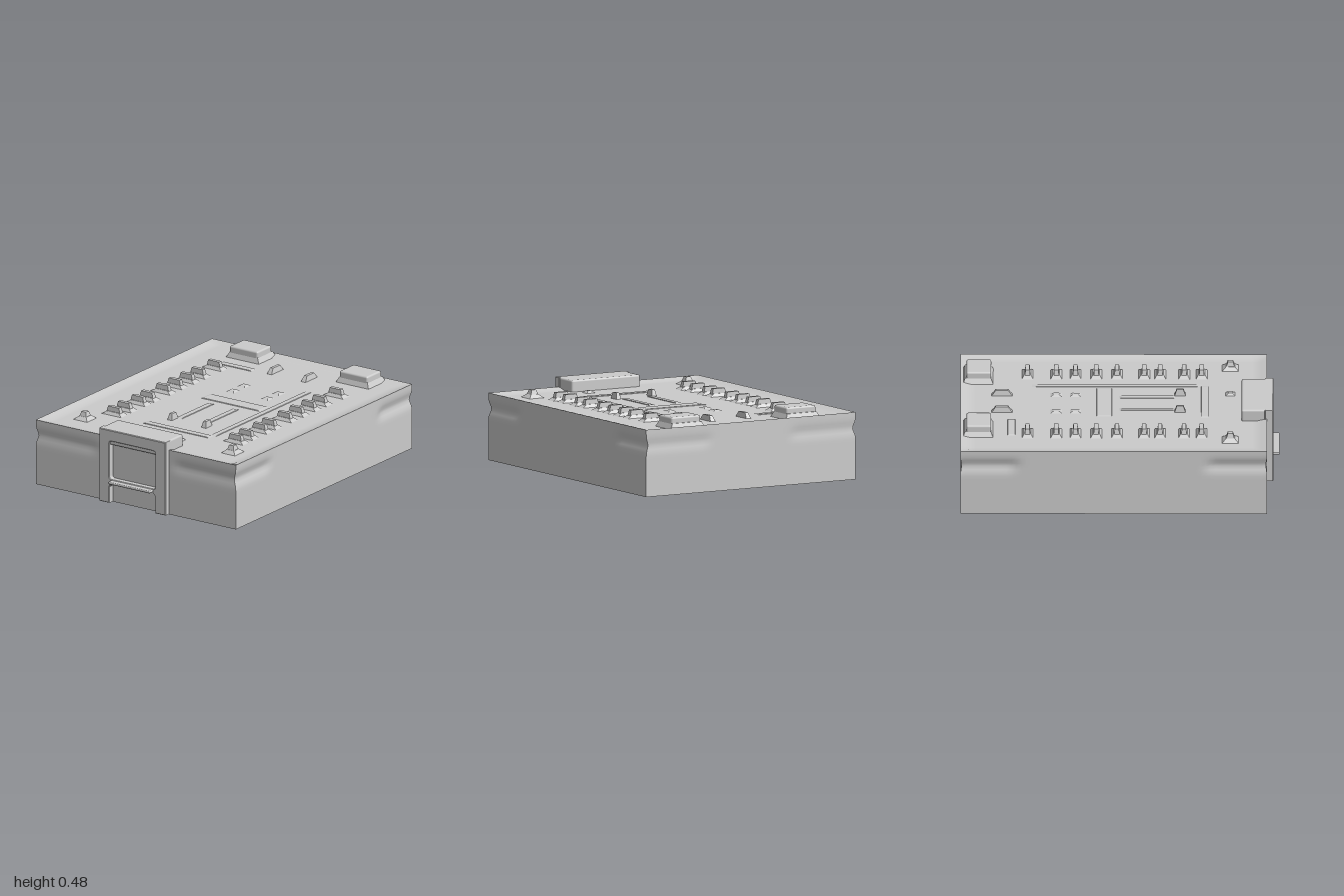
import * as THREE from 'three';
import { RoundedBoxGeometry } from 'three/addons/geometries/RoundedBoxGeometry.js';

const material = new THREE.MeshStandardMaterial({ color: 0xcccccc });
const TOP = 0.41; // floor of the lid, inside its raised rim

export function createModel() {
  const group = new THREE.Group();
  const add = (name, geometry, x = 0, y = 0, z = 0) => {
    const mesh = new THREE.Mesh(geometry, material);
    mesh.name = name;
    mesh.position.set(x, y, z);
    group.add(mesh);
    return mesh;
  };
  // Four-sided tapered block standing on y
  const taper = (name, x, y, z, w, h, d, ratio) => {
    const geometry = new THREE.CylinderGeometry(ratio * Math.SQRT1_2, Math.SQRT1_2, 1, 4)
      .rotateY(Math.PI / 4).scale(w, h, d).toNonIndexed();
    geometry.computeVertexNormals();
    return add(name, geometry, x, y + h / 2, z);
  };

  // Body: a box with a rimmed lid and shallow grip grooves near its corners
  const body = new THREE.BoxGeometry(1.53, 0.425, 1.92, 48, 20, 60);
  body.translate(0, 0.2125, -0.04);
  const smooth = THREE.MathUtils.smoothstep;
  const p = body.attributes.position;
  for (let i = 0; i < p.count; i++) {
    const x = p.getX(i), y = p.getY(i), z = p.getZ(i);
    const groove = Math.exp(-(((y - 0.325) / 0.035) ** 2));
    const end = Math.max(smooth(z, 0.5, 0.6), 1 - smooth(z, -0.7, -0.6));
    const corner = smooth(Math.abs(x), 0.25, 0.35);
    if (Math.abs(x) > 0.764) p.setX(i, x - Math.sign(x) * 0.018 * groove * end);
    if (z > 0.919) p.setZ(i, z - 0.008 * groove * corner);
    if (z < -0.999) p.setZ(i, z + 0.008 * groove * corner);
    if (y > 0.424) {
      const inset = Math.min(0.765 - Math.abs(x), 0.92 - z, z + 1);
      p.setY(i, y - (0.425 - TOP) * smooth(inset, 0.015, 0.05));
    }
  }
  body.computeVertexNormals();
  add('body', body);

  // Front latch frame with one window and an open notch below it
  const outline = new THREE.Shape();
  [[-0.25, 0.005], [-0.18, 0.005], [-0.18, 0.11], [-0.15, 0.145], [0.15, 0.145], [0.18, 0.11],
    [0.18, 0.005], [0.25, 0.005], [0.25, 0.48], [-0.25, 0.48]]
    .forEach(([x, y], i) => (i ? outline.lineTo(x, y) : outline.moveTo(x, y)));
  const hole = new THREE.Path();
  const r = 0.025, x0 = -0.18, x1 = 0.18, y0 = 0.155, y1 = 0.415;
  hole.moveTo(x0 + r, y0);
  hole.lineTo(x1 - r, y0);
  hole.quadraticCurveTo(x1, y0, x1, y0 + r);
  hole.lineTo(x1, y1 - r);
  hole.quadraticCurveTo(x1, y1, x1 - r, y1);
  hole.lineTo(x0 + r, y1);
  hole.quadraticCurveTo(x0, y1, x0, y1 - r);
  hole.lineTo(x0, y0 + r);
  hole.quadraticCurveTo(x0, y0, x0 + r, y0);
  outline.holes.push(hole);
  add('latchFrame', new THREE.ExtrudeGeometry(outline, {
    depth: 0.045, bevelThickness: 0.005, bevelSize: 0.004, bevelSegments: 1,
  }), 0, 0, 0.91);
  add('latchCap', new RoundedBoxGeometry(0.5, 0.1, 0.19, 2, 0.012), 0, 0.434, 0.855);
  add('latchLip', new RoundedBoxGeometry(0.32, 0.016, 0.07, 2, 0.006), 0, 0.147, 0.963);

  // Hinge blocks along the back edge
  [-0.39, 0.45].forEach((x) => {
    add('hingeBlock', new RoundedBoxGeometry(0.215, 0.1, 0.155, 2, 0.012), x, 0.434, -0.885);
    taper('hingeFoot', x, TOP, -0.89, 0.25, 0.035, 0.19, 0.85);
  });

  // Two rows of flared fins
  [-0.45, 0.48].forEach((x) => {
    [-0.58, -0.4, -0.28, -0.15, -0.02, 0.15, 0.25, 0.4, 0.51].forEach((z) => {
      taper('finBase', x, TOP - 0.003, z, 0.16, 0.022, 0.075, 0.55);
      taper('fin', x, TOP, z, 0.11, 0.05, 0.035, 0.75);
    });
  });

  // Small central fins and faint pads
  [-0.1, 0.16].forEach((x) => {
    taper('centreFin', x, TOP, -0.74, 0.035, 0.035, 0.13, 0.6);
    taper('centreFin', x, TOP, 0.375, 0.035, 0.04, 0.07, 0.6);
    [-0.4, -0.28].forEach((z) => taper('pad', x, TOP, z, 0.06, 0.008, 0.07, 0.5));
  });

  // Pointed studs near the front corners
  [-0.55, 0.58].forEach((x) => {
    taper('studBase', x, TOP - 0.003, 0.69, 0.11, 0.025, 0.11, 0.5);
    taper('stud', x, TOP, 0.69, 0.065, 0.05, 0.065, 0.5);
  });
  taper('smallStud', 0.17, TOP, 0.69, 0.06, 0.014, 0.06, 0.4);

  // Low ridges pressed into the lid
  [[0.04, -0.1, 0.46, 0.1], [0.05, 0.53, 0.52, 0.05], [0.3, -0.02, 0.04, 1.1],
    [-0.07, 0.17, 0.04, 0.36], [0.12, 0.17, 0.04, 0.36], [-0.35, -0.68, 0.26, 0.05]]
    .forEach(([x, z, w, d]) => taper('lidRidge', x, TOP - 0.002, z, w, 0.006, d, 0.9));

  return group;
}
